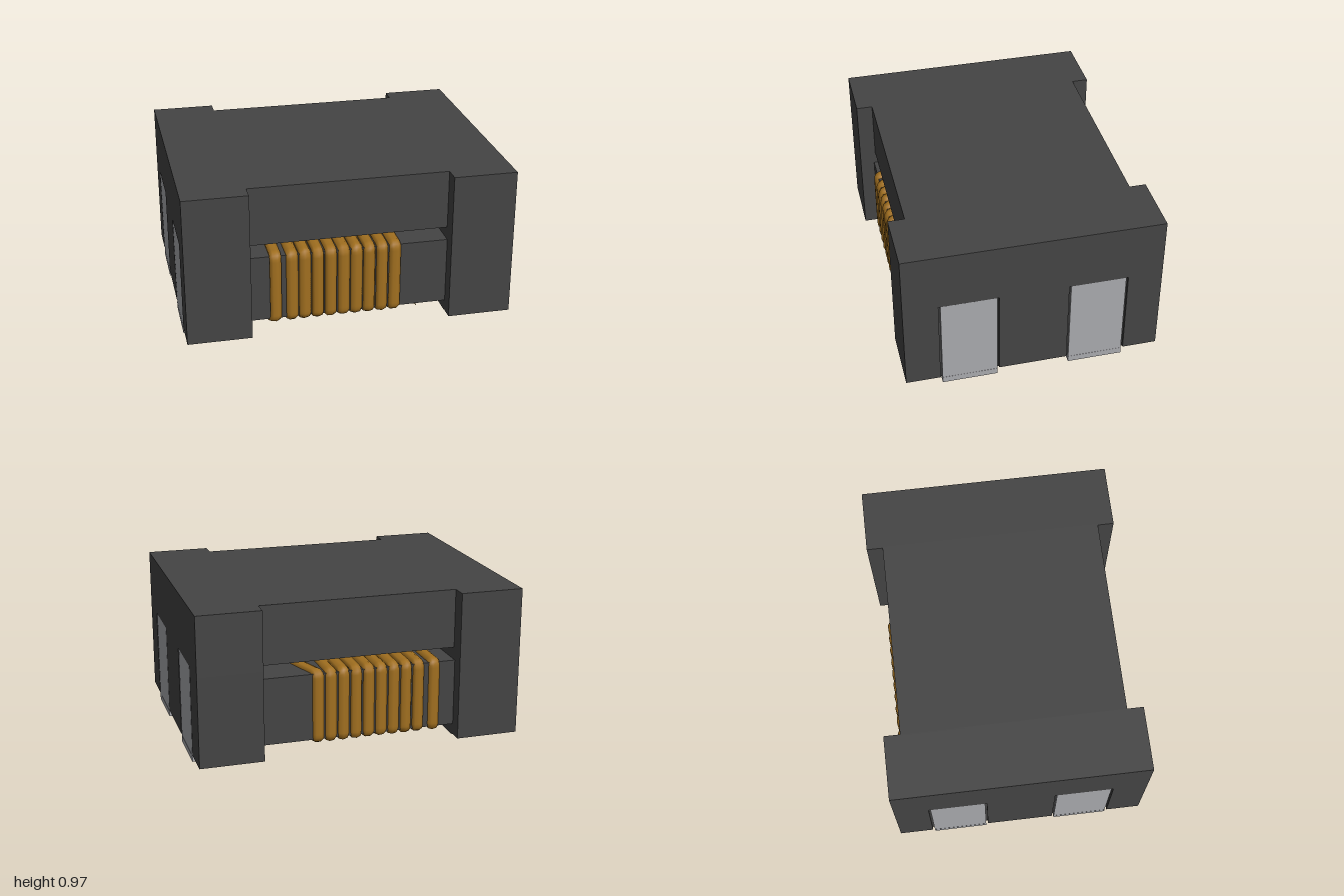
import * as THREE from 'three';

const mat = (name, color) => {
  const m = new THREE.MeshStandardMaterial({ color });
  m.name = name;
  return m;
};

// Box given by its limits on each axis
function block(name, material, [x0, x1], [y0, y1], [z0, z1]) {
  const mesh = new THREE.Mesh(new THREE.BoxGeometry(x1 - x0, y1 - y0, z1 - z0), material);
  mesh.position.set((x0 + x1) / 2, (y0 + y1) / 2, (z0 + z1) / 2);
  mesh.name = name;
  return mesh;
}

// Polyline with rounded corners
function roundedPath(points, r) {
  const path = new THREE.CurvePath();
  let last = points[0];
  for (let i = 1; i < points.length - 1; i++) {
    const p = points[i];
    const toward = q => p.clone().add(q.clone().sub(p).setLength(r));
    const a = toward(points[i - 1]), b = toward(points[i + 1]);
    path.add(new THREE.LineCurve3(last, a));
    path.add(new THREE.QuadraticBezierCurve3(a, p, b));
    last = b;
  }
  path.add(new THREE.LineCurve3(last, points[points.length - 1]));
  return path;
}

// Wire wound round one bar; side is +1 for the front bar, -1 for the back bar
function winding(name, material, side, shift) {
  const FLAT = 1.45, R = 0.026, TURNS = 10;
  const outer = 0.692, inner = 0.09, low = 0.108, high = 0.53;
  const turnX = i => (i === 0 ? -0.45 : -0.35 + (i - 1) * 0.079) + shift;
  const pts = [];
  const add = (x, y, z) => pts.push(new THREE.Vector3(x / FLAT, y, z * side));

  add(-0.49 + shift, low, outer - 0.08);
  for (let i = 0; i < TURNS; i++) {
    const x = turnX(i);
    // the last turn of the back coil leads away across the top
    const xi = side < 0 && i === TURNS - 1 ? 0.455 : x;
    add(x, low, outer);
    add(x, high, outer);
    add(xi, high, inner);
    add(xi, low, inner);
  }
  add(0.46, low, side > 0 ? outer - 0.01 : inner + 0.12);

  const geo = new THREE.TubeGeometry(roundedPath(pts, 0.03), 1500, R, 8, false);
  geo.scale(FLAT, 1, 1);
  const mesh = new THREE.Mesh(geo, material);
  mesh.name = name;
  return mesh;
}

// End block with two slots on its outer face, holding the contacts
function endBlock(name, ferrite, metal) {
  const g = new THREE.Group();
  g.name = name;
  const slots = [[-0.57, -0.21], [0.21, 0.57]];
  const s = new THREE.Shape();
  s.moveTo(0.61, -0.78);
  s.lineTo(1, -0.78);
  for (const [a, b] of slots) {
    s.lineTo(1, a);
    s.lineTo(0.98, a);
    s.lineTo(0.98, b);
    s.lineTo(1, b);
  }
  s.lineTo(1, 0.78);
  s.lineTo(0.61, 0.78);
  const geo = new THREE.ExtrudeGeometry(s, { depth: 0.56, bevelEnabled: false });
  geo.rotateX(-Math.PI / 2).translate(0, 0.045, 0);
  const lower = new THREE.Mesh(geo, ferrite);
  lower.name = 'slottedBlock';
  g.add(lower);
  g.add(block('upperBlock', ferrite, [0.61, 1], [0.605, 0.97], [-0.78, 0.78]));
  g.add(block('foot', ferrite, [0.612, 0.98], [0.036, 0.06], [-0.68, 0.68]));
  // L-shaped contacts
  for (const side of [-1, 1]) {
    const z = [side * 0.39 - 0.168, side * 0.39 + 0.168];
    g.add(block('sideContact', metal, [0.97, 0.999], [0.03, 0.604], z));
    g.add(block('bottomContact', metal, [0.67, 1], [0, 0.04], z));
  }
  return g;
}

export function createModel() {
  const ferrite = mat('dark ferrite', 0x444444);
  const copper = mat('copper wire', 0xa27020);
  const metal = mat('tinned metal', 0xa9aaae);

  const model = new THREE.Group();
  model.name = 'chokeCoil';

  // Lid and end blocks
  model.add(block('lid', ferrite, [-0.62, 0.62], [0.605, 0.97], [-0.68, 0.68]));
  const left = endBlock('leftEnd', ferrite, metal);
  const right = endBlock('rightEnd', ferrite, metal);
  right.rotation.y = Math.PI;
  model.add(left, right);

  // Two core bars with their windings
  model.add(block('frontBar', ferrite, [-0.62, 0.62], [0.112, 0.528], [0.085, 0.692]));
  model.add(block('backBar', ferrite, [-0.62, 0.62], [0.112, 0.528], [-0.698, -0.085]));
  model.add(winding('frontWinding', copper, 1, 0));
  model.add(winding('backWinding', copper, -1, -0.025));
  return model;
}
